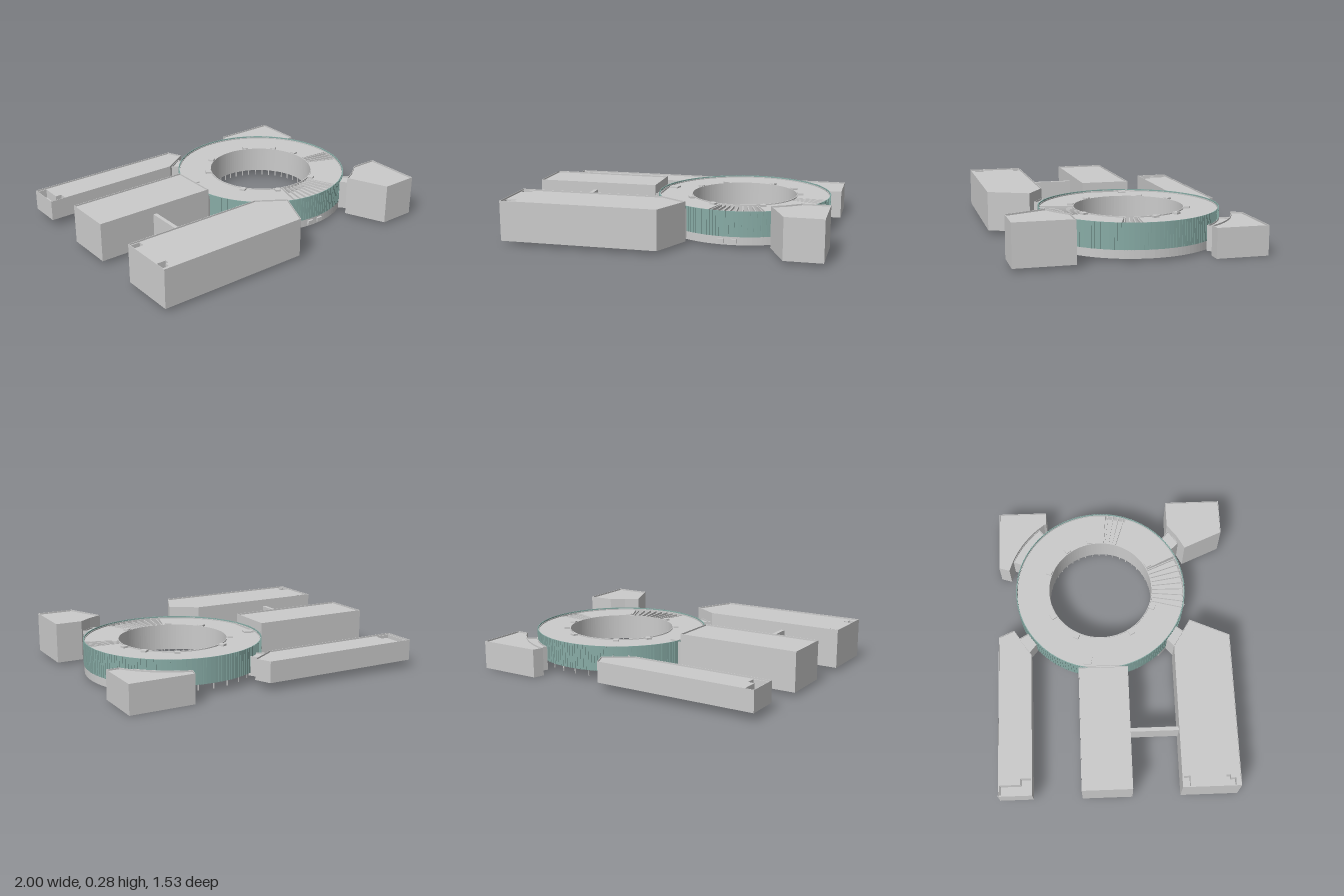
import * as THREE from 'three';

const CX = 0.385, CZ = -0.075; // ring centre
const grey = new THREE.MeshStandardMaterial({ color: 0xcccccc, flatShading: true, side: THREE.DoubleSide });
const glass = new THREE.MeshStandardMaterial({ color: 0x88aca6, flatShading: true, side: THREE.DoubleSide });
const rad = THREE.MathUtils.degToRad;

const polar = (r, deg) => [CX + r * Math.cos(rad(deg)), CZ + r * Math.sin(rad(deg))];

// Points along an arc around the ring centre
function arc(r, a0, a1, step = 3) {
  const n = Math.max(1, Math.round(Math.abs(a1 - a0) / step));
  return Array.from({ length: n + 1 }, (_, i) => polar(r, a0 + (a1 - a0) * i / n));
}

const vecs = pts => pts.map(([x, z]) => new THREE.Vector2(x, z));

// Upright prism from a plan outline in x, z
function prism(parent, name, outline, y0, y1, holes = [], mat = grey) {
  const shape = new THREE.Shape(vecs(outline));
  holes.forEach(h => shape.holes.push(new THREE.Path(vecs(h))));
  const geo = new THREE.ExtrudeGeometry(shape, { depth: y1 - y0, bevelEnabled: false });
  geo.rotateX(Math.PI / 2).translate(0, y1, 0);
  const mesh = new THREE.Mesh(geo, mat);
  mesh.name = name;
  parent.add(mesh);
}

const sector = (r0, r1, a0, a1) => [...arc(r1, a0, a1), ...arc(r0, a1, a0)];

// Full circular band
const band = (parent, name, r0, r1, y0, y1, mat = grey) =>
  prism(parent, name, arc(r1, 0, 357), y0, y1, [arc(r0, 0, 357)], mat);

// Box placed radially on the ring
function radialBox(parent, name, r, deg, len, h, wid, y, mat = grey) {
  const m = new THREE.Mesh(new THREE.BoxGeometry(len, h, wid), mat);
  const [x, z] = polar(r, deg);
  m.position.set(x, y, z);
  m.rotation.y = -rad(deg);
  m.name = name;
  parent.add(m);
}

// Outline moved inward by d, whichever way it winds
function inset(pts, d) {
  const v = vecs(pts), n = v.length;
  const s = THREE.ShapeUtils.area(v) > 0 ? 1 : -1;
  const normal = (a, b) => new THREE.Vector2(a.y - b.y, b.x - a.x).normalize().multiplyScalar(s);
  return v.map((p, i) => {
    const n0 = normal(v[(i + n - 1) % n], p), n1 = normal(p, v[(i + 1) % n]);
    const k = d / (1 + n0.dot(n1));
    return [p.x + (n0.x + n1.x) * k, p.y + (n0.y + n1.y) * k];
  });
}

// Hollow block, open below, with a thin parapet and sunken roof wells
function building(parent, name, outline, y0, y1, wells = []) {
  const g = new THREE.Group();
  g.name = name;
  const inner = inset(outline, 0.003), roofY = y1 - 0.01;
  prism(g, 'outerWall', outline, y0, y1, [inner]);
  prism(g, 'roof', inner, roofY - 0.003, roofY, wells);
  for (const well of wells) {
    prism(g, 'wellWall', well, y1 - 0.07, roofY, [inset(well, 0.002)]);
    prism(g, 'wellFloor', well, y1 - 0.073, y1 - 0.07);
  }
  parent.add(g);
}

const rect = (x0, z0, x1, z1) => [[x0, z0], [x1, z0], [x1, z1], [x0, z1]];

export function createModel() {
  const model = new THREE.Group();

  // Wings around the ring
  building(model, 'frontLongWing',
    [[-1, 0.398], [-0.055, 0.398], [0.12, 0.51], [0.005, 0.767], [-1, 0.767]], 0.025, 0.28,
    [rect(-0.995, 0.405, -0.925, 0.45),
      [[-0.995, 0.672], [-0.925, 0.672], [-0.925, 0.705], [-0.945, 0.705], [-0.945, 0.737], [-0.995, 0.737]]]);
  building(model, 'middleWing', rect(-1, -0.235, -0.19, 0.087), 0.025, 0.28);
  building(model, 'backLongWing',
    [[-1, -0.767], [0.075, -0.767], [0.12, -0.665], [-0.055, -0.55], [-1, -0.55]], 0.05, 0.185,
    [[[-0.993, -0.76], [-0.925, -0.76], [-0.925, -0.625], [-0.885, -0.625], [-0.885, -0.557], [-0.993, -0.557]]]);
  building(model, 'frontCornerWing',
    [[0.65, 0.51], [0.74, 0.462], [0.825, 0.398], [1, 0.398], [1, 0.767], [0.76, 0.767]], 0.018, 0.28);
  building(model, 'backCornerWing',
    [[0.585, -0.767], [1, -0.767], [1, -0.44], [0.915, -0.44], ...arc(0.647, -36, -74, 4)], 0, 0.185);

  // Links between the wings and the ring
  building(model, 'frontLeftLink', [[-0.04, 0.405], [0.025, 0.35], [0.11, 0.415], [0.065, 0.472]], 0.025, 0.213);
  building(model, 'frontRightLink', [[0.67, 0.42], [0.745, 0.35], [0.815, 0.41], [0.72, 0.475]], 0.02, 0.213);
  building(model, 'backLeftLink', [[-0.035, -0.56], [0.03, -0.505], [0.105, -0.56], [0.065, -0.63]], 0.05, 0.175);
  building(model, 'backRightLink', sector(0.572, 0.647, -67, -40), 0.008, 0.165);
  building(model, 'middleLink', [[-0.205, -0.235], [-0.16, -0.222], [-0.16, 0.067], [-0.205, 0.08]], 0.04, 0.225);
  prism(model, 'crossWall', rect(-0.62, 0.085, -0.595, 0.4), 0.08, 0.23);

  // Ring building, hollow below its roof
  const ring = new THREE.Group();
  ring.name = 'ringBuilding';
  model.add(ring);
  band(ring, 'courtyardWall', 0.347, 0.352, 0.05, 0.222);
  band(ring, 'innerLining', 0.562, 0.565, 0.07, 0.222);
  band(ring, 'glassFacade', 0.566, 0.57, 0.068, 0.23, glass);
  for (let a = 0; a < 360; a += 2) radialBox(ring, 'mullion', 0.571, a, 0.004, 0.162, 0.003, 0.149, glass);

  // Roof with two open terraces under radial beams
  prism(ring, 'roofShort', sector(0.351, 0.563, 20.5, 65), 0.21, 0.215);
  prism(ring, 'roofLong', sector(0.351, 0.563, 107, 365), 0.21, 0.215);
  for (const [a0, a1, n] of [[5, 20.5, 4], [65, 107, 9]]) {
    prism(ring, 'terraceFloor', sector(0.351, 0.563, a0, a1), 0.165, 0.17);
    for (const a of [a0, a1]) radialBox(ring, 'partition', 0.457, a, 0.21, 0.175, 0.006, 0.1275);
    for (let i = 0; i < n; i++)
      radialBox(ring, 'terraceBeam', 0.457, a0 + (a1 - a0) * (i + 0.5) / n, 0.21, 0.014, 0.006, 0.208);
  }

  // Small roof hatches beside the courtyard and one by the middle link
  for (const a of [-120, -68, -36, -10, 62, 112, 148, 207])
    radialBox(ring, 'roofHatch', 0.372, a, 0.036, 0.014, 0.036, 0.22);
  radialBox(ring, 'linkHatch', 0.515, 191, 0.06, 0.012, 0.05, 0.219);

  // Plinth under the front and right of the ring
  prism(ring, 'plinth', sector(0.562, 0.569, -42, 138), 0.016, 0.07);
  for (const x of [0.34, 0.42]) {
    const vent = new THREE.Mesh(new THREE.BoxGeometry(0.04, 0.028, 0.03), grey);
    vent.position.set(x, 0.042, 0.49);
    vent.name = 'ventBox';
    ring.add(vent);
  }

  // Slim columns below the courtyard wall and the raised back
  const column = (r, a, y0) => radialBox(ring, 'column', r, a, 0.006, 0.08 - y0, 0.006, (0.08 + y0) / 2);
  for (let a = 0; a < 360; a += 8) column(0.355, a, 0.012);
  for (let a = 225; a < 300; a += 11) column(0.53, a, 0.02);

  return model;
}
